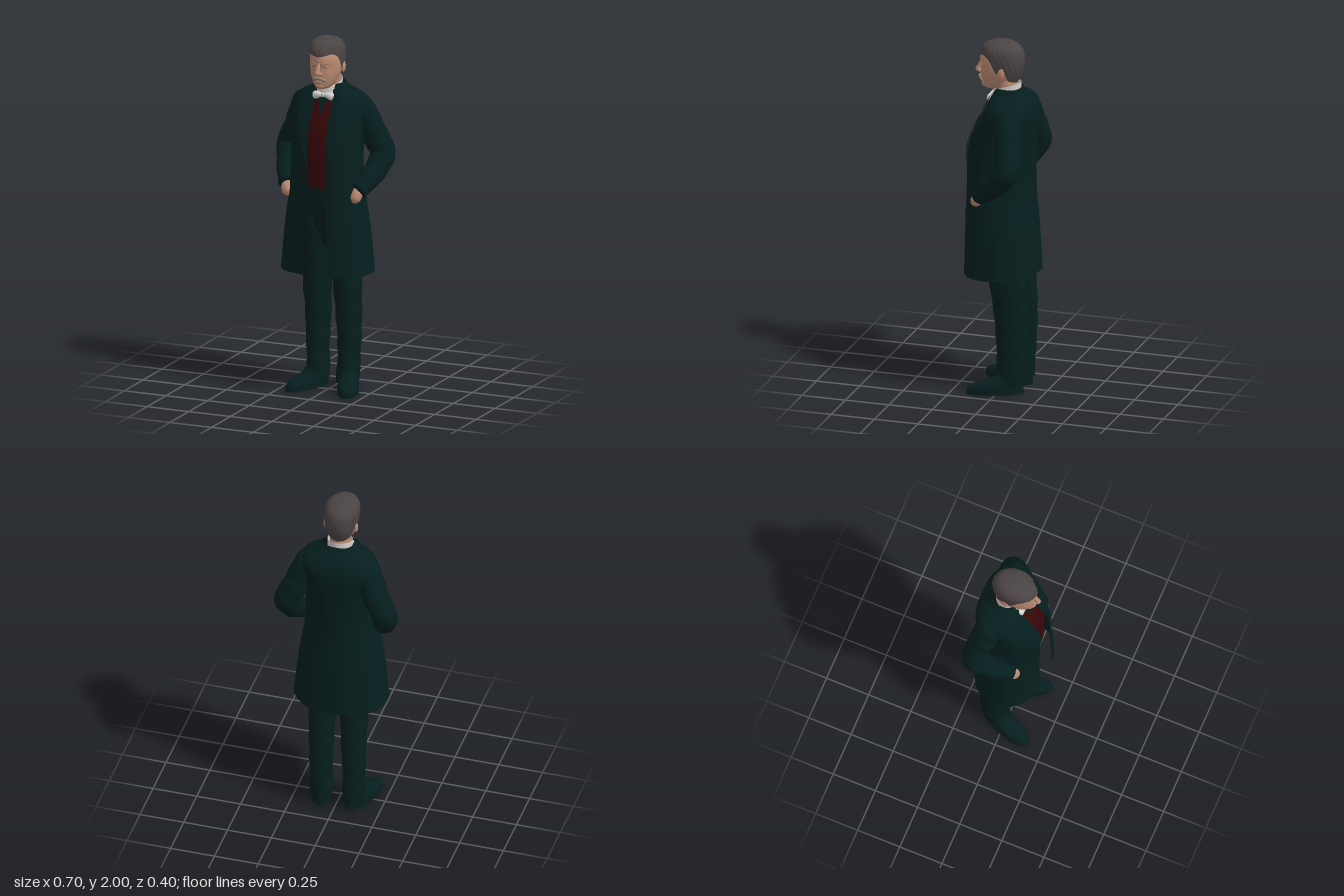
import * as THREE from 'three';
import { mergeVertices } from 'three/addons/utils/BufferGeometryUtils.js';

const mat = (name, color, side = THREE.FrontSide) => {
  const m = new THREE.MeshStandardMaterial({ color, side });
  m.name = name;
  return m;
};

// Surface from a rule f(u, v) -> [x, y, z]; u runs counter-clockwise, v upward
function grid(f, nu, nv) {
  const pos = [], idx = [];
  for (let j = 0; j <= nv; j++) for (let i = 0; i <= nu; i++) pos.push(...f(i / nu, j / nv));
  for (let j = 0; j < nv; j++) for (let i = 0; i < nu; i++) {
    const a = j * (nu + 1) + i, d = a + nu + 1;
    idx.push(a, a + 1, d + 1, a, d + 1, d);
  }
  let g = new THREE.BufferGeometry();
  g.setAttribute('position', new THREE.Float32BufferAttribute(pos, 3));
  g.setIndex(idx);
  g = mergeVertices(g, 1e-5);
  g.computeVertexNormals();
  return g;
}

// Smooth interpolation of a table whose first column is y
function sample(rows, y) {
  let i = 0;
  while (i < rows.length - 2 && y > rows[i + 1][0]) i++;
  const a = rows[i], b = rows[i + 1], p = rows[i - 1] || a, q = rows[i + 2] || b, h = b[0] - a[0];
  const t = Math.min(1, Math.max(0, (y - a[0]) / h)), t2 = t * t, t3 = t2 * t;
  return a.map((_, k) => {
    const m0 = (b[k] - p[k]) / (b[0] - p[0]) * h, m1 = (q[k] - a[k]) / (q[0] - a[0]) * h;
    return (2 * t3 - 3 * t2 + 1) * a[k] + (t3 - 2 * t2 + t) * m0 + (3 * t2 - 2 * t3) * b[k] + (t3 - t2) * m1;
  });
}

// Point on a rounded-box cross-section; rows are [y, centreX, halfWidth, zFront, zBack]
function ringPoint(rows, y, ang, n = 2, grow = 0) {
  const [, cx, rx, zf, zb] = sample(rows, y);
  const s = Math.sin(ang), c = Math.cos(ang), e = 2 / n;
  return [cx + (rx + grow) * Math.sign(s) * Math.abs(s) ** e, y,
    (zf + zb) / 2 + ((zf - zb) / 2 + grow) * Math.sign(c) * Math.abs(c) ** e];
}

function loft(rows, n = 2, nu = 36, nv = 28, low = () => rows[0][0], grow = () => 0) {
  const top = rows[rows.length - 1][0];
  return grid((u, v) => {
    const a = (u % 1) * Math.PI * 2, lo = low(a), y = lo + (top - lo) * v;
    return ringPoint(rows, y, a, n, grow(a, y));
  }, nu, nv);
}

// Tapered limb through points [x, y, z, radius]
function limb(pts, nu = 18, nv = 24, ripple = 0) {
  const curve = new THREE.CatmullRomCurve3(pts.map(p => new THREE.Vector3(p[0], p[1], p[2])));
  const radii = new THREE.CatmullRomCurve3(pts.map((p, i) => new THREE.Vector3(p[3], i, 0)));
  const fr = curve.computeFrenetFrames(nv);
  return grid((u, v) => {
    const t = curve.getUtoTmapping(v), k = Math.round(v * nv), a = (u % 1) * Math.PI * 2;
    const r = Math.max(0.0005, radii.getPoint(t).x) * (1 + ripple * Math.sin(v * 34 + 2 * Math.cos(a)));
    return curve.getPoint(t).addScaledVector(fr.normals[k], r * Math.cos(a))
      .addScaledVector(fr.binormals[k], r * Math.sin(a)).toArray();
  }, nu, nv);
}

// Coat table: [y, centreX, halfWidth, zFront, zBack, openingLeft, openingRight]
const COAT = [
  [0.685, 0, 0.260, 0.194, -0.200, 0.082, 0.065], [0.95, 0, 0.234, 0.190, -0.187, 0.077, 0.060],
  [1.18, 0, 0.202, 0.186, -0.172, 0.070, 0.046], [1.40, 0, 0.195, 0.184, -0.179, 0.066, 0.048],
  [1.52, 0, 0.202, 0.148, -0.186, 0.062, 0.051], [1.61, 0, 0.212, 0.098, -0.183, 0.057, 0.050],
  [1.66, 0, 0.195, 0.072, -0.165, 0.055, 0.050], [1.69, 0, 0.150, 0.060, -0.143, 0.055, 0.052],
  [1.715, 0, 0.100, 0.050, -0.117, 0.054, 0.052], [1.742, 0, 0.079, 0.035, -0.098, 0.054, 0.052]];
const FRONT_N = 2.6;
const coatAngle = (y, x) => Math.asin(Math.min(1, Math.abs(x) / sample(COAT, y)[2]) ** (FRONT_N / 2)) * Math.sign(x);

// Coat surface: rounder skirt behind, left front panel a little further forward than the right
function coatPoint(y, a, grow = 0) {
  const front = Math.cos(a) > 0;
  const p = ringPoint(COAT, y, a, front ? FRONT_N : 2.1 + 0.5 * THREE.MathUtils.smoothstep(y, 1.35, 1.6), grow);
  if (front) p[2] += 0.09 * Math.max(-0.1, Math.min(0.1, p[0])) * Math.cos(a) * (1 - THREE.MathUtils.smoothstep(y, 1.2, 1.5));
  return p;
}

export function createModel() {
  const root = new THREE.Group();
  root.name = 'standingMan';
  const suit = mat('darkGreenCloth', 0x061e1e, THREE.DoubleSide);
  const vestRed = mat('darkRedCloth', 0x360608, THREE.DoubleSide);
  const skin = mat('skin', 0xbb8a72), hair = mat('greyBrownHair', 0x4b4444, THREE.DoubleSide);
  const linen = mat('whiteLinen', 0xd6d2cd, THREE.DoubleSide);
  const whisker = mat('moustacheHair', 0x9a8270), dark = mat('eyeDark', 0x3a2c28);
  const add = (name, geo, m, parent = root) => {
    const o = new THREE.Mesh(geo, m);
    o.name = name;
    parent.add(o);
    return o;
  };
  const ball = (name, m, p, s) => {
    const o = add(name, new THREE.SphereGeometry(1, 20, 14), m);
    o.position.set(...p);
    o.scale.set(...s);
    return o;
  };

  // Long open coat, wrapped from one front edge round the back to the other
  add('coat', grid((u, v) => {
    const y = 0.685 + 1.057 * v, r = sample(COAT, y);
    const a0 = coatAngle(y, r[5]), a1 = Math.PI * 2 + coatAngle(y, -r[6]), a = a0 + (a1 - a0) * u;
    const fold = Math.max(0, 1.15 - y) * 0.008 * Math.sin(a * 8) * Math.sin(u * Math.PI);
    return coatPoint(y, a, fold);
  }, 84, 60), suit);

  // Plates lying on the coat front: x range given by a rule of y, raised toward the outer edge
  const plate = (name, s, y0, y1, xa, xb, lift = 0.005) => add(name, grid((u, v) => {
    const k = s > 0 ? u : 1 - u, y = y0 + (y1 - y0) * v, x = s * (xa(y) + (xb(y) - xa(y)) * k);
    return [x, y, coatPoint(y, coatAngle(y, x))[2] + lift * (0.6 + k)];
  }, 8, 24), suit);

  for (const s of [1, -1]) {
    const side = s > 0 ? 'left' : 'right';
    const edge = y => sample(COAT, y)[s > 0 ? 5 : 6] - 0.003;
    plate(side + 'Lapel', s, 1.30, 1.60, edge, y => edge(y) + 0.003 + 0.086 * (y - 1.3) / 0.3, 0.007);
    plate(side + 'Collar', s, 1.612, 1.715, edge, y => edge(y) + 0.07 - 0.5 * (y - 1.612), 0.007);
    plate(side + 'PocketFlap', s, 1.02, 1.05, () => 0.125, () => 0.19);

    // Sleeve, cuff and the hand tucked into the pocket
    const X = p => p.map(q => [q[0] * s, ...q.slice(1)]);
    add(side + 'Sleeve', limb(X([[0.13, 1.628, -0.06, 0.04], [0.160, 1.604, -0.065, 0.072], [0.190, 1.54, -0.080, 0.075],
      [0.234, 1.44, -0.100, 0.073], [0.279, 1.348, -0.106, 0.070], [0.264, 1.265, -0.052, 0.065],
      [0.239, 1.205, 0.020, 0.056], [0.211, 1.165, 0.076, 0.046]]), 24, 48, 0.022), suit);
    add(side + 'Cuff', limb(X([[0.227, 1.188, 0.044, 0.053], [0.211, 1.163, 0.079, 0.048],
      [0.2085, 1.16, 0.083, 0.028]]), 20, 8), suit);
    add(side + 'Hand', limb(X([[0.214, 1.17, 0.065, 0.03], [0.209, 1.143, 0.088, 0.032],
      [0.200, 1.117, 0.098, 0.028], [0.188, 1.098, 0.102, 0.001]]), 16, 16), skin);

    // Trouser leg with light creases
    add(side + 'TrouserLeg', loft([
      [0.045, 0.090 * s, 0.060, 0.030, -0.142], [0.10, 0.090 * s, 0.060, 0.016, -0.146],
      [0.22, 0.094 * s, 0.060, 0.010, -0.150], [0.42, 0.092 * s, 0.067, 0.024, -0.160],
      [0.70, 0.088 * s, 0.077, 0.066, -0.148], [0.86, 0.082 * s, 0.083, 0.097, -0.137],
      [1.0, 0.076 * s, 0.084, 0.122, -0.13]], 2.05, 32, 50, undefined,
      (a, y) => 0.002 * Math.sin(y * 42 + 3 * Math.sin(a))), suit);

    // Shoe turned outward, on a flat sole
    const shoe = new THREE.Group();
    shoe.name = side + 'Shoe';
    shoe.position.set(0.095 * s, 0, -0.07);
    shoe.rotation.y = 0.34 * s;
    root.add(shoe);
    add(side + 'ShoeUpper', loft([[0.008, 0, 0.056, 0.240, -0.066], [0.03, 0, 0.058, 0.240, -0.068],
      [0.05, 0, 0.054, 0.215, -0.068], [0.068, 0, 0.049, 0.155, -0.066], [0.09, 0, 0.046, 0.10, -0.062],
      [0.13, 0, 0.04, 0.06, -0.055]], 2.2, 32, 18), suit, shoe);
    const sole = new THREE.Shape(new THREE.EllipseCurve(0, 0.087, 0.059, 0.159, 0, Math.PI * 2).getPoints(32));
    const soleGeo = new THREE.ExtrudeGeometry(sole, { depth: 0.014, bevelEnabled: false });
    soleGeo.rotateX(Math.PI / 2).translate(0, 0.014, 0);
    add(side + 'Sole', soleGeo, suit, shoe);
  }
  plate('breastPocket', 1, 1.455, 1.475, () => 0.10, () => 0.155);

  // Trouser seat and waist, hidden by the coat except in front
  add('trouserWaist', loft([[0.79, 0, 0.015, 0.0, -0.06], [0.83, 0, 0.06, 0.04, -0.10], [0.92, 0, 0.13, 0.09, -0.13],
    [1.02, 0, 0.155, 0.122, -0.14], [1.12, 0, 0.155, 0.14, -0.14], [1.24, 0, 0.15, 0.142, -0.14]], 2.2), suit);

  // Waistcoat with a pointed hem
  const VEST = [[1.14, 0.005, 0.150, 0.164, -0.14], [1.28, 0.005, 0.150, 0.168, -0.14], [1.40, 0.005, 0.150, 0.166, -0.14],
    [1.52, 0.004, 0.140, 0.136, -0.14], [1.61, 0, 0.110, 0.092, -0.13], [1.66, 0, 0.080, 0.070, -0.11],
    [1.69, 0, 0.064, 0.058, -0.085]];
  add('waistcoat', loft(VEST, 2.3, 60, 36, a => {
    const d = Math.min(a, Math.PI * 2 - a);
    return 1.152 + Math.min(0.05, 0.3 * Math.abs(d - 0.14));
  }), vestRed);
  for (let i = 0; i < 6; i++) {
    const y = 1.21 + i * 0.06;
    ball('waistcoatButton', vestRed, [0.008, y, sample(VEST, y)[3] + 0.001], [0.006, 0.006, 0.003]);
  }
  for (const y of [1.17, 1.03, 0.89]) ball('coatButton', suit, coatPoint(y, coatAngle(y, 0.1)), [0.009, 0.009, 0.005]);

  // Neckcloth, shirt collar and bow
  add('neckcloth', grid((u, v) => {
    const y = 1.575 + 0.105 * v, x = (u - 0.5) * 0.07 * v;
    return [x, y, sample(VEST, y)[3] + 0.005];
  }, 6, 10), suit);
  add('shirtCollar', grid((u, v) => {
    const a = (u % 1) * Math.PI * 2, c = Math.cos(a);
    return [0.069 * Math.sin(a), 1.65 + v * (0.103 - 0.02 * c), -0.015 + 0.078 * c - 0.004 * v];
  }, 40, 8), linen);
  for (const s of [1, -1]) add('bowWing', limb([[0.006 * s, 1.684, 0.071, 0.009], [0.028 * s, 1.682, 0.069, 0.018],
    [0.052 * s, 1.676, 0.060, 0.022], [0.058 * s, 1.674, 0.057, 0.001]], 14, 14), linen);
  ball('bowKnot', linen, [0, 1.684, 0.074], [0.012, 0.014, 0.009]);

  // Neck and head
  add('neck', limb([[0, 1.66, -0.025, 0.055], [0, 1.72, -0.018, 0.058], [0, 1.80, -0.005, 0.06]]), skin);
  add('head', loft([[1.722, 0, 0.004, 0.088, 0.06], [1.728, 0, 0.034, 0.114, 0.01], [1.745, 0, 0.052, 0.126, -0.02],
    [1.775, 0, 0.068, 0.130, -0.05], [1.81, 0, 0.080, 0.132, -0.07], [1.85, 0, 0.086, 0.131, -0.09],
    [1.89, 0, 0.085, 0.136, -0.1], [1.93, -0.002, 0.077, 0.124, -0.095], [1.96, -0.002, 0.055, 0.085, -0.065],
    [1.975, -0.002, 0.02, 0.04, -0.02]], 2.08, 48, 44), skin);
  ball('chin', skin, [0, 1.746, 0.112], [0.027, 0.019, 0.018]);
  add('nose', limb([[0, 1.882, 0.128, 0.006], [0, 1.862, 0.134, 0.010], [0, 1.835, 0.145, 0.013],
    [0, 1.818, 0.149, 0.016], [0, 1.806, 0.143, 0.001]], 16, 20), skin);
  for (const s of [1, -1]) {
    ball('nostril', skin, [0.014 * s, 1.817, 0.135], [0.010, 0.009, 0.012]);
    ball('eyelid', skin, [0.034 * s, 1.857, 0.115], [0.017, 0.009, 0.010]);
    ball('eye', dark, [0.034 * s, 1.856, 0.1215], [0.010, 0.003, 0.004]);
    ball('ear', skin, [0.088 * s, 1.835, -0.008], [0.009, 0.031, 0.019]).rotation.x = -0.15;
    add('eyebrow', limb([[0.012 * s, 1.872, 0.136, 0.001], [0.032 * s, 1.876, 0.129, 0.004],
      [0.052 * s, 1.877, 0.114, 0.003], [0.064 * s, 1.871, 0.101, 0.001]], 10, 14), whisker);
    add('moustache', limb([[0, 1.793, 0.134, 0.009], [0.016 * s, 1.789, 0.133, 0.011],
      [0.034 * s, 1.778, 0.120, 0.008], [0.047 * s, 1.767, 0.106, 0.001]], 12, 16), whisker);
  }
  ball('lowerLip', skin, [0, 1.772, 0.126], [0.02, 0.006, 0.009]);

  // Combed hair: hairline rises at the temples, drops at sideburns and nape; swept from a side parting
  const line = [[0, 1.912], [0.45, 1.92], [0.85, 1.925], [1.15, 1.908], [1.36, 1.868], [1.5, 1.832], [1.66, 1.838],
    [1.76, 1.868], [1.92, 1.835], [2.15, 1.79], [3.15, 1.768]];
  const HAIR = [[1.765, 0, 0.064, 0.09, -0.074], [1.80, 0, 0.079, 0.12, -0.092], [1.85, 0, 0.090, 0.134, -0.11],
    [1.90, -0.001, 0.094, 0.140, -0.115], [1.94, -0.003, 0.094, 0.136, -0.109], [1.97, -0.004, 0.082, 0.118, -0.09],
    [1.988, -0.008, 0.060, 0.090, -0.062], [1.997, -0.014, 0.033, 0.055, -0.025], [2.0, -0.016, 0.001, 0.02, 0.018]];
  add('hair', loft(HAIR, 2.04, 120, 48, a => sample(line, Math.min(a, Math.PI * 2 - a))[1], (a, y) => {
    const fade = Math.min(1, Math.max(0, (1.992 - y) / 0.04));
    const parting = -0.007 * Math.exp(-(((a - 0.65) / 0.22) ** 2));
    return fade * (parting + 0.0008 * Math.sin(a * 24 + y * 90));
  }), hair);

  return root;
}
